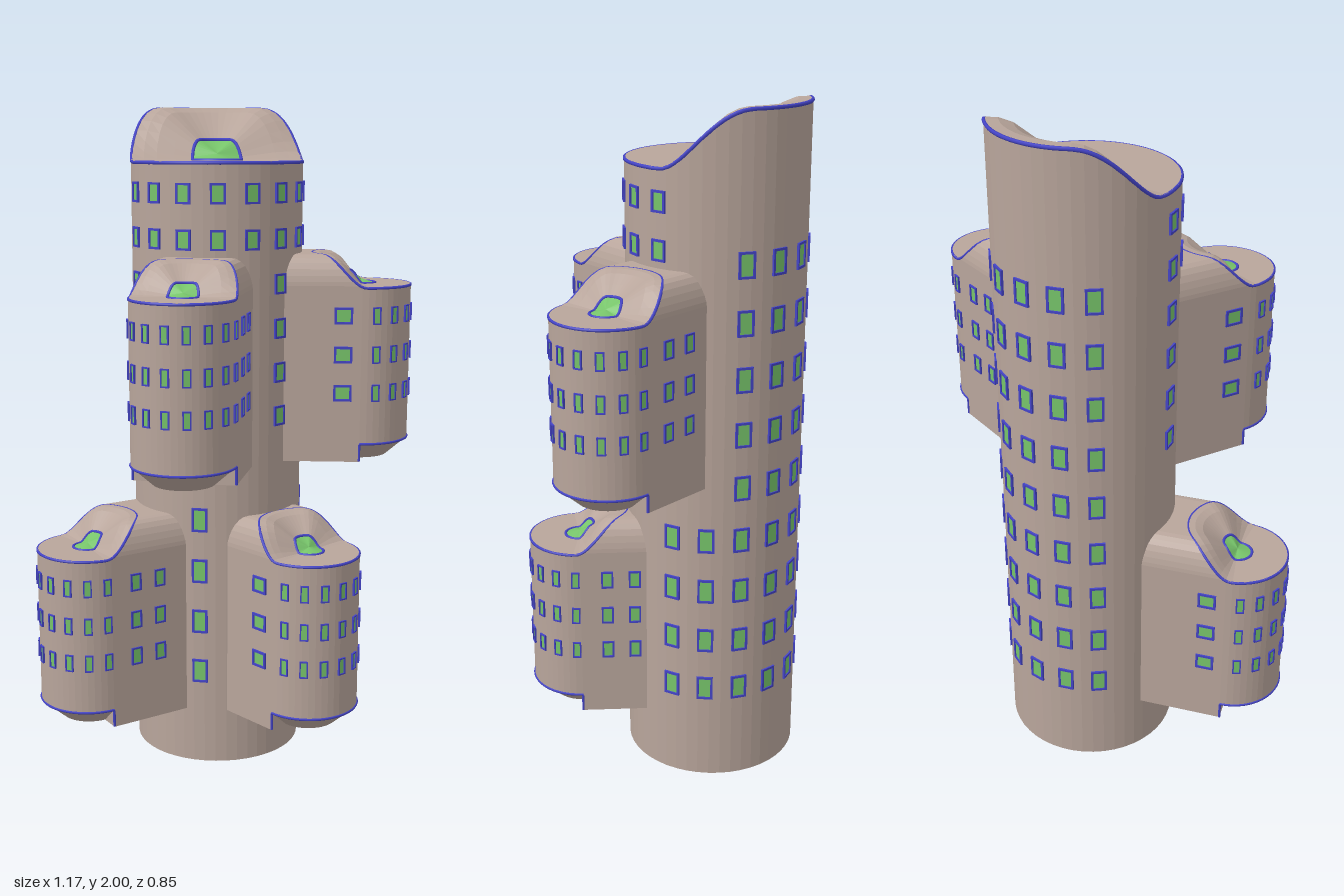
import * as THREE from 'three';
import { mergeGeometries } from 'three/addons/utils/BufferGeometryUtils.js';

const SIDES = 48;
const V = (x, y, z) => new THREE.Vector3(x, y, z);
const rad = THREE.MathUtils.degToRad;
const wallMat = new THREE.MeshStandardMaterial({ color: 0xb8a59b, flatShading: true, side: THREE.DoubleSide });
const glassMat = new THREE.MeshStandardMaterial({ color: 0x77c46a, flatShading: true, side: THREE.DoubleSide });
const trimMat = new THREE.MeshStandardMaterial({ color: 0x4444c8 });

function add(group, name, geometry, material) {
  const mesh = new THREE.Mesh(geometry, material);
  mesh.name = name;
  group.add(mesh);
}

// Skin over closed rings that all hold the same number of points
function loft(rings) {
  const n = rings[0].length, index = [];
  for (let i = 0; i < rings.length - 1; i++)
    for (let j = 0; j < n; j++) {
      const a = i * n + j, b = i * n + (j + 1) % n;
      index.push(a, b, b + n, a, b + n, a + n);
    }
  const geo = new THREE.BufferGeometry().setFromPoints(rings.flat());
  geo.setIndex(index);
  geo.computeVertexNormals();
  return geo;
}

// Circle whose height may depend on the angle (0 = front, turning to +x)
function ring(r, height) {
  return Array.from({ length: SIDES }, (_, i) => {
    const a = i / SIDES * Math.PI * 2;
    return V(r * Math.sin(a), typeof height === 'function' ? height(a) : height, r * Math.cos(a));
  });
}

function tube(points, radius, closed, segments) {
  const curve = new THREE.CatmullRomCurve3(points, closed, 'catmullrom', closed ? 0.5 : 0);
  return new THREE.TubeGeometry(curve, segments, radius, 6, closed);
}

// How far the roof edge has risen, from 0 at the front to 1 at the back
const rise = a => THREE.MathUtils.smoothstep(-Math.cos(a), -0.1, 0.8);

// Collects framed windows and adds them as two merged meshes
class Windows {
  frames = [];
  panes = [];
  place(w, h, x, y, z, angle) {
    const bar = 0.12 * Math.min(w, h) + 0.001;
    const shape = new THREE.Shape([[-1, -1], [1, -1], [1, 1], [-1, 1]]
      .map(([i, j]) => new THREE.Vector2(i * w / 2, j * h / 2)));
    shape.holes.push(new THREE.Path([[-1, -1], [-1, 1], [1, 1], [1, -1]]
      .map(([i, j]) => new THREE.Vector2(i * (w / 2 - bar), j * (h / 2 - bar)))));
    const frame = new THREE.ExtrudeGeometry(shape, { depth: 0.007, bevelEnabled: false });
    frame.translate(0, 0, -0.002);
    const pane = new THREE.PlaneGeometry(w - bar, h - bar).translate(0, 0, 0.0015);
    const m = new THREE.Matrix4().makeRotationY(angle).setPosition(x, y, z);
    this.frames.push(frame.applyMatrix4(m));
    this.panes.push(pane.applyMatrix4(m));
  }
  // window on a round wall
  round(w, h, r, y, deg) {
    const a = rad(deg);
    this.place(w, h, r * Math.sin(a), y, r * Math.cos(a), a);
  }
  finish(group) {
    add(group, 'windowFrames', mergeGeometries(this.frames), trimMat);
    add(group, 'windowPanes', mergeGeometries(this.panes), glassMat);
  }
}

// Sloping roof with a round skylight and edge trim
function addRoof(group, r, base, lift) {
  const at = (f, g) => ring(r * f, a => base + lift * g * rise(a));
  add(group, 'roof', loft([at(1, 1), at(0.85, 0.99), at(0.7, 0.9), at(0.5, 0.65), at(0.28, 0.37)]), wallMat);
  const centre = ring(0.0001, base + lift * 0.13);
  add(group, 'skylight', loft([at(0.28, 0.37), centre]), glassMat);
  const t = 0.003 + r * 0.01;
  const rim = ring(r - t * 0.4, a => base + lift * rise(a) - t * 0.8);
  add(group, 'roofTrim', tube(rim, t, true, 96), trimMat);
  add(group, 'skylightTrim', tube(at(0.285, 0.38), t, true, 48), trimMat);
}

function makeTower() {
  const tower = new THREE.Group(), r = 0.26, base = 1.84, lift = 0.16;
  tower.name = 'tower';
  add(tower, 'towerWall', loft([ring(0.0001, 0), ring(r, 0), ring(r, a => base + lift * rise(a))]), wallMat);
  addRoof(tower, r, base, lift);
  const win = new Windows();
  // two rows under the roof, two columns running further down
  for (let c = 0; c < 8; c++) {
    const deg = -73 + c * 22.5, rows = c === 0 || c === 5 ? 6 : 2;
    for (let i = 0; i < rows; i++) win.round(0.046, 0.06, r, 1.75 - i * 0.132, deg);
  }
  // back columns and the short lower ones
  for (const deg of [-18, 94.5, 117, 139.5, 162, 184.5, 207, 229.5]) {
    const rows = deg > 130 ? 9 : 4;
    for (let i = 0; i < rows; i++) win.round(0.048, 0.074, r, 0.3 + i * 0.161, deg);
  }
  win.finish(tower);
  return tower;
}

// Hanging pod: round front, arched link running back into the tower
function makePod() {
  const pod = new THREE.Group(), r = 0.152, base = 0.53, lift = 0.093, step = 0.055, back = -0.36;
  const edge = a => base + lift * rise(a);
  add(pod, 'podWall', loft([ring(0.0001, 0), ring(0.09, 0), ring(r, step), ring(r, edge)]), wallMat);
  addRoof(pod, r, base, lift);

  // link: the rear roof edge carried straight back
  const near = [V(r, 0, 0)];
  for (let i = 0; i <= SIDES / 2; i++) {
    const a = Math.PI * (0.5 + i / (SIDES / 2));
    near.push(V(r * Math.sin(a), edge(a), r * Math.cos(a)));
  }
  near.push(V(-r, 0, 0));
  add(pod, 'podLink', loft([near, near.map(p => V(p.x, p.y, back))]), wallMat);
  add(pod, 'linkFront', new THREE.PlaneGeometry(2 * r, step).translate(0, step / 2, 0), wallMat);

  // lower trim around the front, dropping at both ends
  const path = [V(-r, 0.002, 0)];
  for (let i = 0; i <= 24; i++) {
    const a = Math.PI * (i / 24 - 0.5);
    path.push(V(r * Math.sin(a), step, r * Math.cos(a)));
  }
  path.push(V(r, 0.002, 0));
  add(pod, 'lowerTrim', tube(path, 0.004, false, 120), trimMat);

  const win = new Windows();
  for (const y of [0.212, 0.328, 0.445]) {
    for (let c = 0; c < 8; c++) win.round(0.025, 0.052, r, y, -73 + c * 22.5);
    for (const z of [-0.08, -0.162]) win.place(0.036, 0.054, r, y, z, Math.PI / 2);
    win.place(0.055, 0.05, -r, y, -0.054, -Math.PI / 2);
  }
  win.finish(pod);
  return pod;
}

export function createModel() {
  const model = new THREE.Group();
  model.name = 'towerBuilding';
  const centre = V(-0.01, 0, -0.16);
  const tower = makeTower();
  tower.position.copy(centre);
  model.add(tower);

  const pods = [
    ['lowerRightPod', -0.427, 0.17, 0.047],
    ['upperRightPod', -0.15, 0.945, 0.264],
    ['lowerLeftPod', 0.231, 0.17, 0.168],
    ['upperLeftPod', 0.425, 0.945, -0.083],
  ];
  for (const [name, x, y, z] of pods) {
    const pod = makePod();
    pod.name = name;
    pod.position.set(x, y, z);
    pod.rotation.y = Math.atan2(x - centre.x, z - centre.z);
    model.add(pod);
  }
  return model;
}
